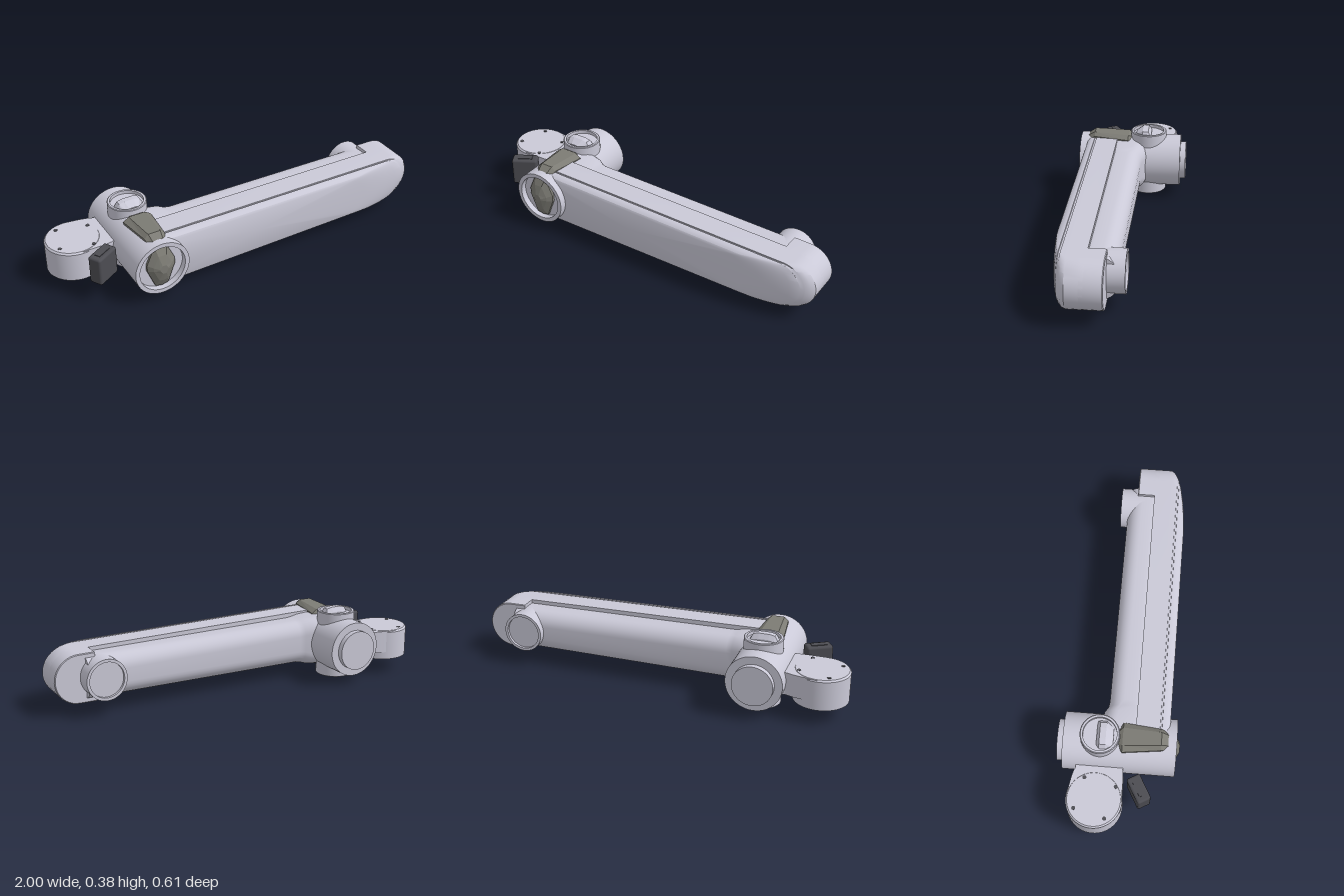
import * as THREE from 'three';
import { toCreasedNormals } from 'three/addons/utils/BufferGeometryUtils.js';
import { RoundedBoxGeometry } from 'three/addons/geometries/RoundedBoxGeometry.js';

const JX = -0.56, CY = 0.192; // main joint axis

const mat = (name, color) => {
  const m = new THREE.MeshStandardMaterial({ color });
  m.name = name;
  return m;
};

// Closed loft through counter-clockwise rings of [x, y], stacked towards +z
function loft(rings, crease = 0.5) {
  const n = rings[0].points.length, pos = [], idx = [];
  for (const r of rings) for (const [x, y] of r.points) pos.push(x, y, r.z);
  for (let i = 0; i < rings.length - 1; i++) {
    for (let j = 0; j < n; j++) {
      const a = i * n + j, b = i * n + (j + 1) % n;
      idx.push(a, b, b + n, a, b + n, a + n);
    }
  }
  [0, rings.length - 1].forEach((i) => {
    const c = pos.length / 3, pts = rings[i].points;
    pos.push(pts.reduce((s, p) => s + p[0], 0) / n, pts.reduce((s, p) => s + p[1], 0) / n, rings[i].z);
    for (let j = 0; j < n; j++) {
      const a = i * n + j, b = i * n + (j + 1) % n;
      if (i === 0) idx.push(c, b, a); else idx.push(c, a, b);
    }
  });
  const g = new THREE.BufferGeometry();
  g.setAttribute('position', new THREE.Float32BufferAttribute(pos, 3));
  g.setIndex(idx);
  return toCreasedNormals(g, crease);
}

// Turned part around y from a bottom-to-top profile
const turned = (profile) => toCreasedNormals(
  new THREE.LatheGeometry(profile.map(([r, y]) => new THREE.Vector2(r, y)), 56), 0.5);

// Tapered outline with a round right end and a round or flat left end
const halfHeight = (x) => 0.14 - (x - JX) * 0.0104;
function outline(x0, x1, inset, flatLeft) {
  const pts = [], N = 20;
  const h1 = halfHeight(x1 - 0.125) - inset, h0 = halfHeight(x0) - inset;
  for (let i = 0; i <= N; i++) {
    const a = -Math.PI / 2 + Math.PI * i / N;
    pts.push([x1 - h1 + h1 * Math.cos(a), CY + h1 * Math.sin(a)]);
  }
  for (let i = 0; i <= N; i++) {
    const a = Math.PI / 2 + Math.PI * i / N;
    pts.push([x0 + (flatLeft ? 0 : h0 * Math.cos(a)), CY + h0 * Math.sin(a)]);
  }
  return pts;
}

export function createModel() {
  const model = new THREE.Group();
  const body = mat('pale grey shell', 0xcac9d7);
  const clipGrey = mat('olive grey clip', 0x7c7b74);
  const dark = mat('dark plug', 0x4c4c52);

  const add = (name, geometry, material, parent = model) => {
    const m = new THREE.Mesh(geometry, material);
    m.name = name;
    parent.add(m);
    return m;
  };

  // Front beam: [z, right end x, edge inset], with a narrow seam and swept tip
  const beamLayers = [
    [0.08, 1, 0], [0.165, 1, 0], [0.185, 0.985, 0], [0.199, 0.96, 0], [0.2, 0.958, 0.005],
    [0.208, 0.94, 0.005], [0.209, 0.938, 0], [0.222, 0.89, 0.002], [0.235, 0.82, 0.006],
    [0.245, 0.74, 0.014], [0.25, 0.66, 0.026],
  ];
  add('frontBeam', loft(beamLayers.map(([z, x1, inset]) => ({ z, points: outline(JX, x1, inset) }))), body);

  // Block at the beam's far end
  add('endBlock', loft([[-0.008, 0.004], [-0.004, 0], [0.1, 0]].map(([z, inset]) => (
    { z, points: outline(0.79, 1 - inset, inset, true) }))), body);

  // Rear beam: rounded section with a slight flare at the joint
  const section = (z0, h) => {
    const pts = [], r = 0.075;
    for (const [cz, cy, start] of [[0.14 - r, h - r, 0], [z0 + r, h - r, 1], [z0 + r, r - h, 2], [0.14 - r, r - h, 3]]) {
      for (let i = 0; i <= 8; i++) {
        const a = (start + i / 8) * Math.PI / 2;
        pts.push([-(cz + r * Math.cos(a)), CY + cy + r * Math.sin(a)]);
      }
    }
    return pts.reverse();
  };
  const rear = loft([[-0.5, -0.1, 0.132], [-0.42, -0.085, 0.127], [-0.39, -0.068, 0.12], [-0.36, -0.063, 0.116],
    [0.7, -0.058, 0.108], [0.84, -0.057, 0.107]].map(([z, z0, h]) => ({ z, points: section(z0, h) })));
  add('rearBeam', rear.rotateY(Math.PI / 2), body);

  // Short round socket behind the far end
  const socket = add('endSocket', turned([
    [0, -0.08], [0.09, -0.08], [0.09, -0.094], [0.105, -0.094], [0.105, 0.03], [0, 0.03]]), body);
  socket.rotation.x = Math.PI / 2;
  socket.position.set(0.765, CY + 0.003, 0);

  // Main joint barrel with a recessed front and a stepped rear disc
  const barrel = add('jointBarrel', turned([
    [0, -0.305], [0.104, -0.305], [0.104, -0.275], [0.144, -0.275], [0.144, 0.287],
    [0.122, 0.287], [0.122, 0.255], [0, 0.255]]), body);
  barrel.rotation.x = Math.PI / 2;
  barrel.position.set(JX, CY, 0);

  // Faceted grip in the barrel's front
  const grip = [[0, -0.118], [0.035, -0.11], [0.074, -0.01], [0.074, 0.025], [0.032, 0.118],
    [-0.032, 0.118], [-0.074, 0.025], [-0.074, -0.01], [-0.035, -0.11]];
  add('frontGrip', loft([[0.25, 1, 1], [0.268, 1, 1], [0.29, 0.66, 0.62], [0.305, 0.3, 0.2]].map(([z, sx, sy]) => (
    { z, points: grip.map(([x, y]) => [JX + x * sx, CY + 0.005 + y * sy]) })), 0.05), clipGrey);

  // Upper and lower cross-pivot caps with fins, and the clips beside them
  for (const [side, turn] of [['upper', 0], ['lower', Math.PI]]) {
    const half = new THREE.Group();
    half.name = side + 'PivotSet';
    half.position.set(JX, CY, 0);
    half.rotation.z = turn;
    model.add(half);

    const cap = add(side + 'PivotCap', turned([
      [0, 0], [0.099, 0], [0.099, 0.172], [0.095, 0.175], [0.084, 0.175], [0.084, 0.157], [0, 0.157]]), body, half);
    cap.position.z = -0.093;

    add(side + 'PivotFin', loft([[-0.108, 0.165, 0.05], [-0.093, 0.19, 0.055], [-0.062, 0.19, 0.055], [-0.025, 0.168, 0.035]]
      .map(([z, t, w]) => ({
        z, points: [[-w - 0.02, 0.15], [w + 0.02, 0.15], [w, t - 0.006], [w * 0.5, t], [-w * 0.5, t], [-w, t - 0.006]],
      })), 0.1), body, half);

    add(side + 'Clip', loft([[0, 0.05, 0.143], [0.02, 0.075, 0.155], [0.21, 0.054, 0.165], [0.245, 0.044, 0.143]]
      .map(([z, w, t]) => ({
        z, points: [[-w, 0.09], [w, 0.09], [w, t - 0.02], [w * 0.6, t], [-w * 0.6, t], [-w, t - 0.02]],
      })), 0.1), clipGrey, half);
  }

  // Round side housing, open underneath
  const housing = add('sideHousing', turned([
    [0, 0.115], [0.115, 0.115], [0.115, 0.085], [0.14, 0.085], [0.14, 0.236], [0.132, 0.245], [0, 0.245]]), body);
  housing.position.set(-0.86, 0, -0.1);

  // Waisted neck between housing and barrel
  const neck = new THREE.Shape();
  neck.moveTo(-0.86, -0.236);
  neck.quadraticCurveTo(-0.74, -0.222, -0.71, -0.205);
  neck.quadraticCurveTo(-0.69, -0.2, -0.6, -0.22);
  neck.lineTo(-0.6, 0.03);
  neck.lineTo(-0.7, 0.03);
  neck.quadraticCurveTo(-0.72, 0.036, -0.76, 0.036);
  neck.lineTo(-0.86, 0.036);
  const neckGeo = new THREE.ExtrudeGeometry(neck, { depth: 0.115, bevelEnabled: false, curveSegments: 10 });
  neckGeo.rotateX(Math.PI / 2).translate(0, 0.2435, 0);
  // Keep the neck clear of the housing's open underside
  const np = neckGeo.attributes.position;
  for (let i = 0; i < np.count; i++) if (np.getY(i) < 0.2) np.setY(i, 0.125);
  neckGeo.computeVertexNormals();
  add('housingNeck', toCreasedNormals(neckGeo, 0.5), body);

  // Small screws on the housing top
  for (const [x, z] of [[-0.91, -0.195], [-0.755, -0.155], [-0.95, -0.04], [-0.79, 0.003]]) {
    add('screw', new THREE.CylinderGeometry(0.01, 0.01, 0.006, 14), dark).position.set(x, 0.244, z);
  }

  // Dark plug set at an angle, with a raised face plate
  const plug = new THREE.Group();
  plug.name = 'plug';
  plug.position.set(-0.795, 0.196, 0.116);
  plug.rotation.y = 0.52;
  model.add(plug);
  add('plugBody', new RoundedBoxGeometry(0.137, 0.15, 0.072, 3, 0.012), dark, plug);
  add('plugTopPlate', new THREE.BoxGeometry(0.08, 0.006, 0.03), dark, plug).position.y = 0.075;

  return model;
}
